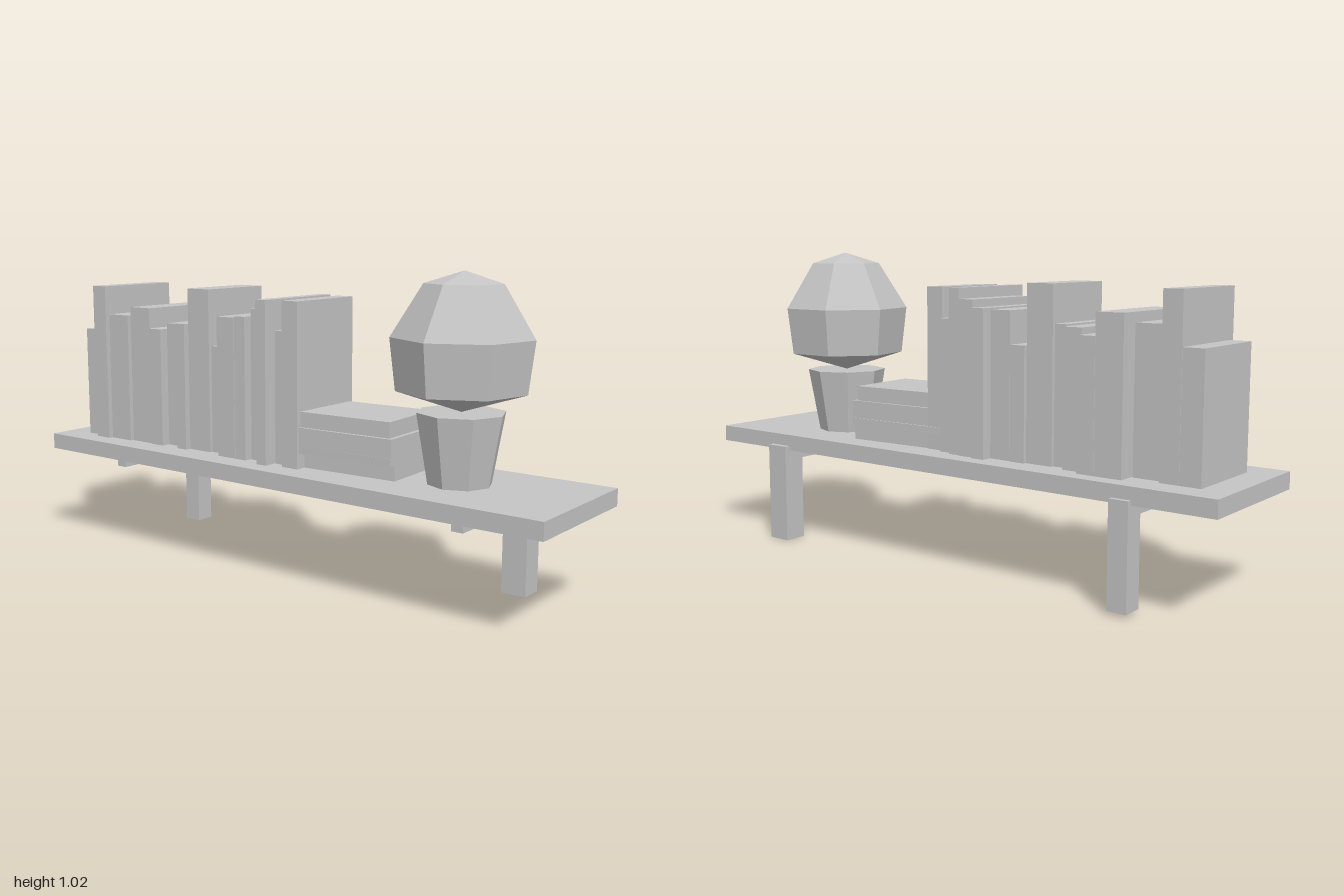
import * as THREE from 'three';

export function createModel() {
  const model = new THREE.Group();
  model.name = 'bookShelf';
  const grey = new THREE.MeshStandardMaterial({ color: 0xc4c4c4, flatShading: true });
  grey.name = 'grey';

  // Box given by its lower and upper limits on each axis
  function addBox(name, [x0, x1], [y0, y1], [z0, z1], turn = 0) {
    const mesh = new THREE.Mesh(new THREE.BoxGeometry(x1 - x0, y1 - y0, z1 - z0), grey);
    mesh.position.set((x0 + x1) / 2, (y0 + y1) / 2, (z0 + z1) / 2);
    mesh.rotation.y = turn;
    mesh.name = name;
    model.add(mesh);
  }

  // Faceted solid of revolution from [radius, height] pairs, bottom to top
  function addLathe(name, profile, sides) {
    const points = profile.map(([r, y]) => new THREE.Vector2(r, y));
    const mesh = new THREE.Mesh(new THREE.LatheGeometry(points, sides), grey);
    mesh.position.set(0.6, 0, 0.01);
    mesh.name = name;
    model.add(mesh);
  }

  const shelfTop = 0.38;
  addBox('shelfBoard', [-1, 1], [0.325, shelfTop], [-0.23, 0.25]);

  // Wall brackets: upright behind, arm under the board
  addBox('rightBracketUpright', [-0.735, -0.67], [0.01, 0.34], [-0.245, -0.175]);
  addBox('leftBracketUpright', [0.655, 0.74], [0, 0.34], [-0.25, -0.17]);
  addBox('rightBracketArm', [-0.72, -0.68], [0.285, 0.33], [-0.18, 0.19]);
  addBox('leftBracketArm', [0.68, 0.72], [0.285, 0.33], [-0.18, 0.19]);

  // Standing books: left x, right x, top y, back z, front z
  const books = [
    [-0.905, -0.836, 0.77, -0.14, 0.155],
    [-0.835, -0.772, 0.93, -0.14, 0.18],
    [-0.77, -0.675, 0.83, -0.12, 0.165],
    [-0.67, -0.576, 0.86, -0.175, 0.155],
    [-0.575, -0.517, 0.79, -0.175, 0.16],
    [-0.515, -0.45, 0.81, -0.15, 0.13],
    [-0.445, -0.403, 0.815, -0.125, 0.16],
    [-0.402, -0.307, 0.935, -0.135, 0.14],
    [-0.305, -0.252, 0.745, -0.145, 0.13],
    [-0.247, -0.172, 0.85, -0.14, 0.165],
    [-0.17, -0.125, 0.855, -0.175, 0.165],
    [-0.12, -0.062, 0.88, -0.165, 0.14],
    [-0.06, -0.02, 0.915, -0.16, 0.185],
    [-0.017, 0.03, 0.815, -0.145, 0.14],
    [0.032, 0.094, 0.915, -0.13, 0.165],
  ];
  books.forEach(([x0, x1, top, z0, z1], i) =>
    addBox('standingBook' + (i + 1), [x0, x1], [shelfTop, top], [z0, z1]));

  // Lying books, slightly turned
  addBox('lyingBook1', [0.05, 0.425], [shelfTop, 0.43], [-0.13, 0.12], 0.05);
  addBox('lyingBook2', [0.05, 0.43], [0.43, 0.455], [-0.14, 0.15], 0.04);
  addBox('lyingBook3', [0.05, 0.43], [0.455, 0.515], [-0.135, 0.15], 0.05);
  addBox('lyingBook4', [0.05, 0.415], [0.515, 0.565], [-0.125, 0.14], 0.06);

  // Potted plant
  addLathe('plantPot', [[0, shelfTop], [0.1, shelfTop], [0.138, 0.6], [0, 0.6]], 8);
  addLathe('plantCrown',
    [[0, 0.6], [0.2, 0.663], [0.219, 0.824], [0.121, 0.983], [0, 1.02]], 7);

  return model;
}
